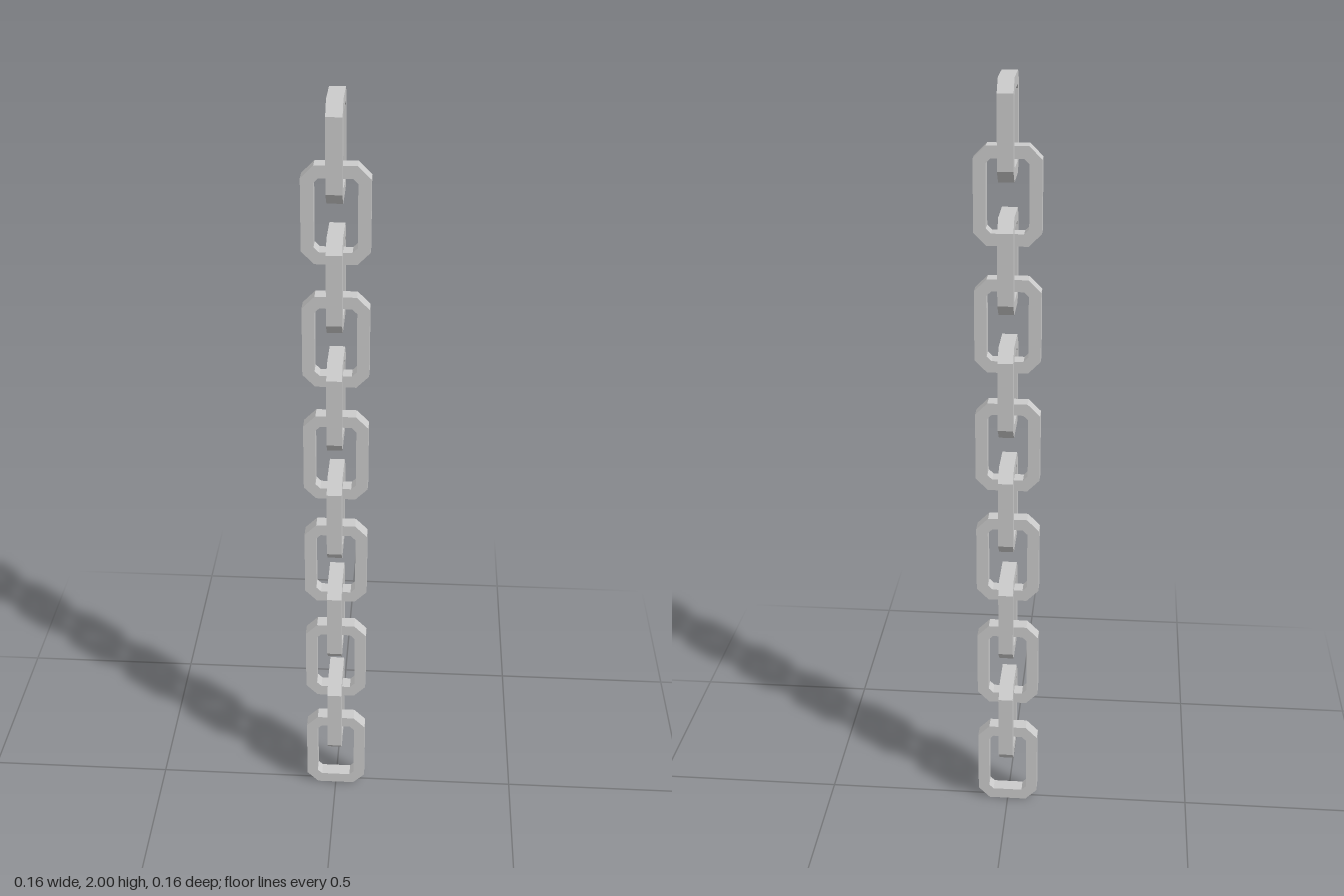
import * as THREE from 'three';

const LINKS = 12, HEIGHT = 0.238, WIDTH = 0.163, DEPTH = 0.038, BAR = 0.03;
const PITCH = (2 - HEIGHT) / (LINKS - 1);

// Rectangle with its four corners cut off
function cutRectangle(path, w, h, cut) {
  const x = w / 2, y = h / 2;
  return path.setFromPoints([
    [x, -y + cut], [x, y - cut], [x - cut, y], [-x + cut, y],
    [-x, y - cut], [-x, -y + cut], [-x + cut, -y], [x - cut, -y],
  ].map(([a, b]) => new THREE.Vector2(a, b)));
}

export function createModel() {
  const chain = new THREE.Group();
  chain.name = 'chain';

  // One flat-sided link with an open middle
  const outline = cutRectangle(new THREE.Shape(), WIDTH, HEIGHT, 0.031);
  outline.closePath();
  const hole = cutRectangle(new THREE.Path(), WIDTH - 2 * BAR, HEIGHT - 2 * BAR, 0.012);
  hole.closePath();
  outline.holes.push(hole);
  const geometry = new THREE.ExtrudeGeometry(outline, { depth: DEPTH, bevelEnabled: false });
  geometry.translate(0, 0, -DEPTH / 2);
  const material = new THREE.MeshStandardMaterial({ color: 0xcccccc, flatShading: true });

  // Interlocked links, every second one turned a quarter
  for (let i = 0; i < LINKS; i++) {
    const link = new THREE.Mesh(geometry, material);
    link.name = `link${i + 1}`;
    link.position.y = HEIGHT / 2 + i * PITCH;
    link.rotation.y = (i % 2) * Math.PI / 2;
    chain.add(link);
  }
  return chain;
}
